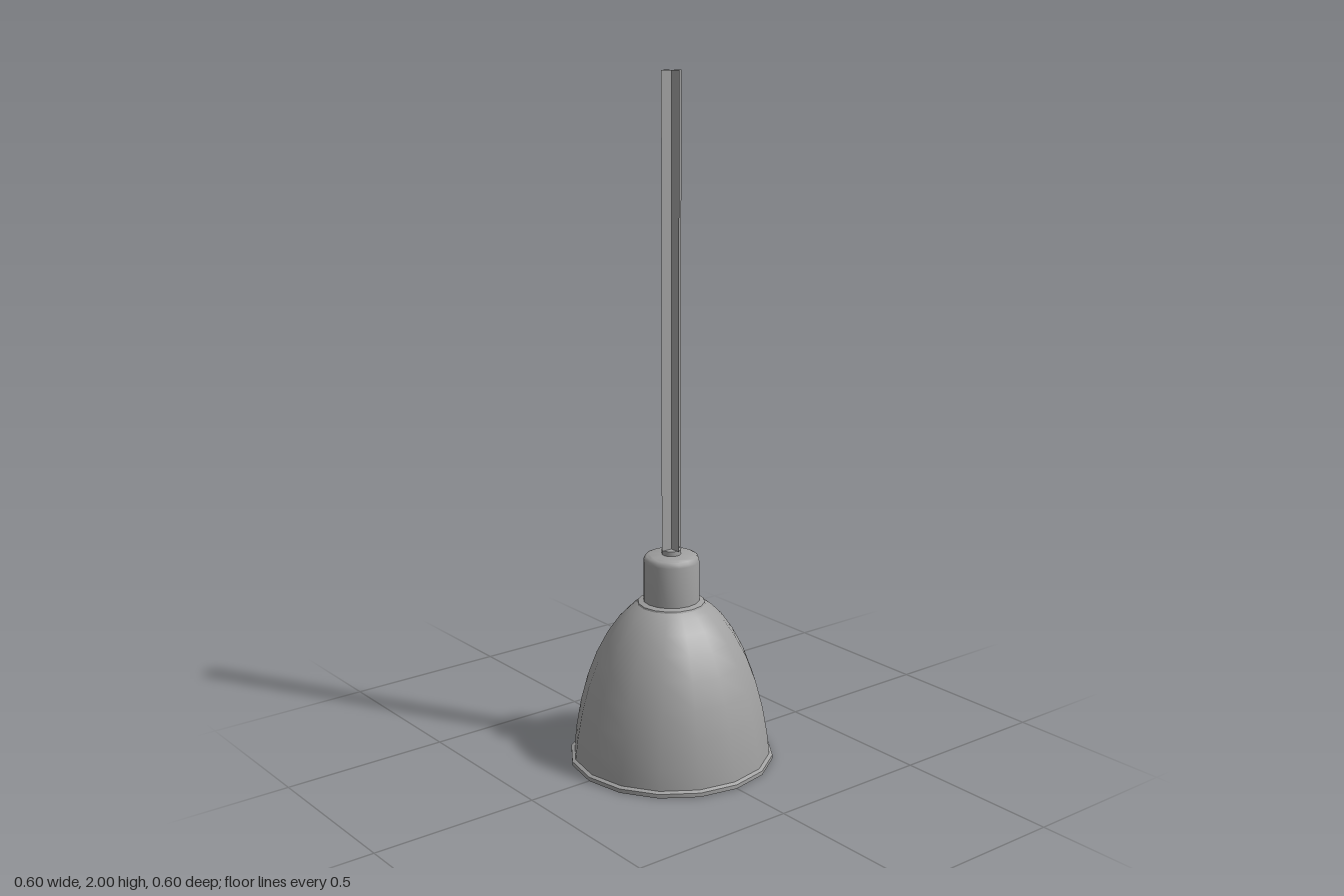
import * as THREE from 'three';
import { toCreasedNormals } from 'three/addons/utils/BufferGeometryUtils.js';

const SIDES = 16;
const COLOR = 0xa0a0a0;

export function createModel() {
  const lamp = new THREE.Group();
  lamp.name = 'pendantLamp';
  const material = new THREE.MeshStandardMaterial({ color: COLOR });
  const thinMaterial = new THREE.MeshStandardMaterial({ color: COLOR, side: THREE.DoubleSide });

  const add = (name, geometry, mat = material) => {
    const mesh = new THREE.Mesh(geometry, mat);
    mesh.name = name;
    lamp.add(mesh);
    return mesh;
  };
  // Revolve [radius, height] pairs, keeping sharp corners in the profile
  const turn = (name, profile) => {
    const points = profile.map(([r, y]) => new THREE.Vector2(r, y));
    return add(name, toCreasedNormals(new THREE.LatheGeometry(points, SIDES), 0.6));
  };

  // Bell shade: inner wall downwards, around the rim, outer wall upwards
  const bell = [
    [0.292, 0.017], [0.285, 0.08], [0.271, 0.16], [0.25, 0.24], [0.222, 0.315],
    [0.188, 0.38], [0.153, 0.43], [0.12, 0.463], [0.1, 0.477],
  ];
  const inner = bell.map(([r, y]) => [r - 0.01, y - 0.008]).reverse();
  turn('shade', [
    [0, 0.469], ...inner,
    [0.282, 0], [0.302, 0], [0.302, 0.012], ...bell,
  ]);

  // Sloping collar where the shade meets the socket
  turn('collar', [[0.1, 0.477], [0.098, 0.482], [0.081, 0.487]]);

  // Socket cap with a rounded top edge
  turn('socketCap', [
    [0.082, 0.475], [0.082, 0.606], [0.08, 0.615], [0.075, 0.622], [0.066, 0.626], [0, 0.626],
  ]);

  // Cord grip on top of the cap
  turn('cordGrip', [[0.028, 0.62], [0.028, 0.64], [0, 0.64]]);

  // Bulb inside the shade
  turn('bulb', [
    [0, 0.158], [0.03, 0.162], [0.056, 0.18], [0.072, 0.207], [0.076, 0.24],
    [0.07, 0.28], [0.052, 0.33], [0.038, 0.38], [0.035, 0.472],
  ]);

  // Cord made of two crossed strips
  for (const angle of [0, Math.PI / 2]) {
    const strip = add('cordStrip', new THREE.PlaneGeometry(0.07, 1.36), thinMaterial);
    strip.position.y = 1.32;
    strip.rotation.y = angle;
  }

  return lamp;
}
